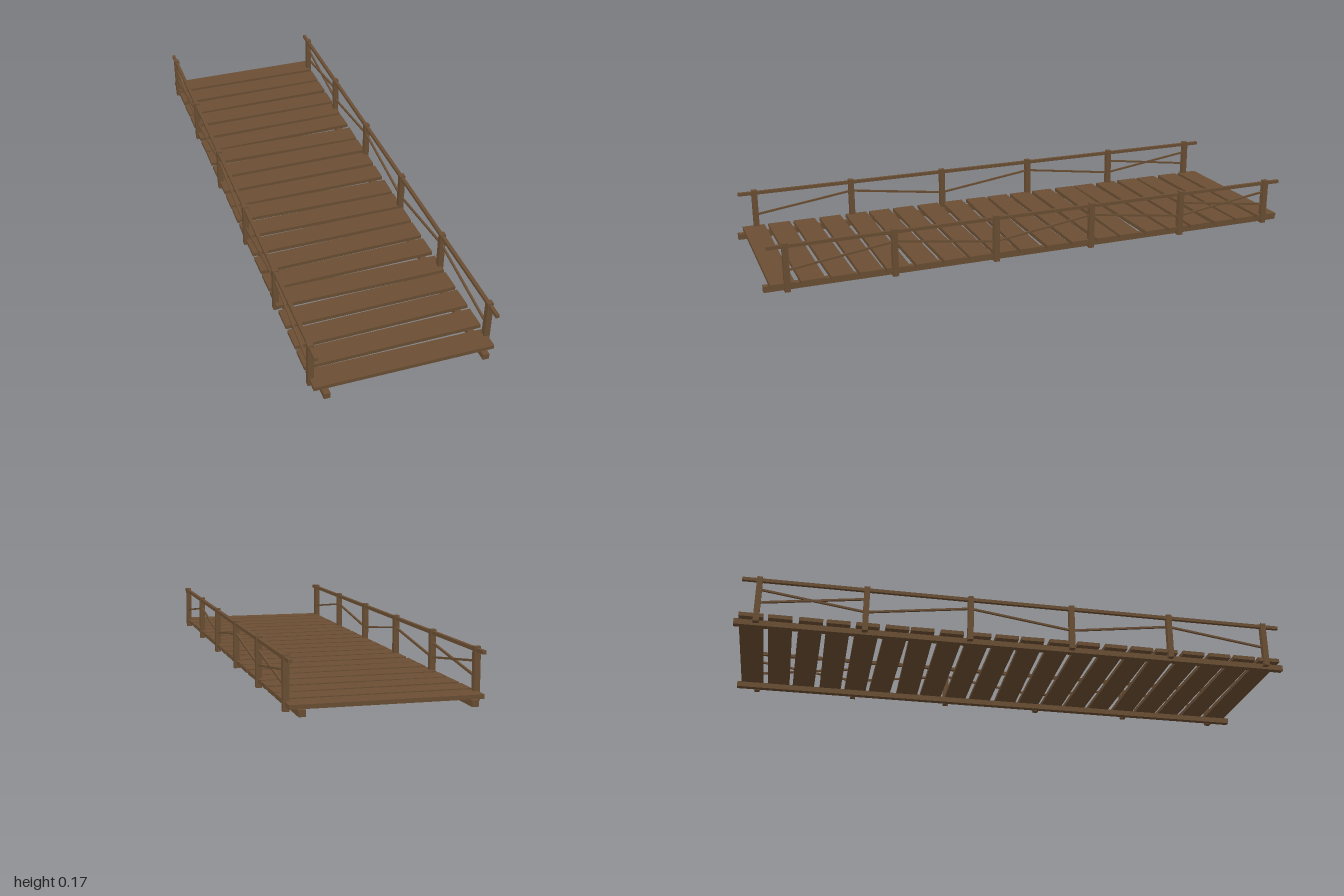
import * as THREE from 'three';

export function createModel() {
  const model = new THREE.Group();
  model.name = 'footbridge';
  const wood = new THREE.MeshStandardMaterial({ color: 0x6b4f34 });
  wood.name = 'brown wood';

  function box(name, w, h, d, x, y, z) {
    const mesh = new THREE.Mesh(new THREE.BoxGeometry(w, h, d), wood);
    mesh.name = name;
    mesh.position.set(x, y, z);
    model.add(mesh);
    return mesh;
  }

  // Deck planks, each laid slightly crooked
  const skew = [0, 0, 0.017, 0, 0.008, 0.02, -0.015, 0.004, 0, 0,
    -0.02, -0.008, 0.005, 0.018, 0.014, -0.006, 0.008, 0.012, 0.004, -0.008];
  skew.forEach((angle, i) => {
    const plank = box('plank', 0.614, 0.014, 0.082, 0, 0.027, -0.943 + i * 0.099);
    plank.rotation.y = angle;
  });

  const railX = 0.303;
  const postZ = [0.925, 0.555, 0.185, -0.185, -0.555, -0.925];
  const low = 0.077, high = 0.128;

  // Thin diagonal between two neighbouring posts
  function brace(x, z0, y0, z1, y1) {
    const dz = z1 - z0, dy = y1 - y0;
    const bar = box('brace', 0.007, 0.007, Math.hypot(dz, dy), x, (y0 + y1) / 2, (z0 + z1) / 2);
    bar.rotation.x = -Math.atan(dy / dz);
  }

  for (const side of [-1, 1]) {
    const x = side * railX;
    box('beam', 0.022, 0.021, 2, side * 0.271, 0.0105, 0);
    box('handrail', 0.012, 0.012, 1.97, x, 0.163, 0);
    postZ.forEach((z, i) => {
      box('post', 0.02, 0.171, 0.02, x, 0.0885, z);
      if (i === 5) return;
      const up = i % 2 === 0;
      brace(x, z, up ? low : high, postZ[i + 1], up ? high : low);
    });
    // Crossing diagonal in the last bay
    brace(x, postZ[4], high, postZ[5], low);
  }
  return model;
}
